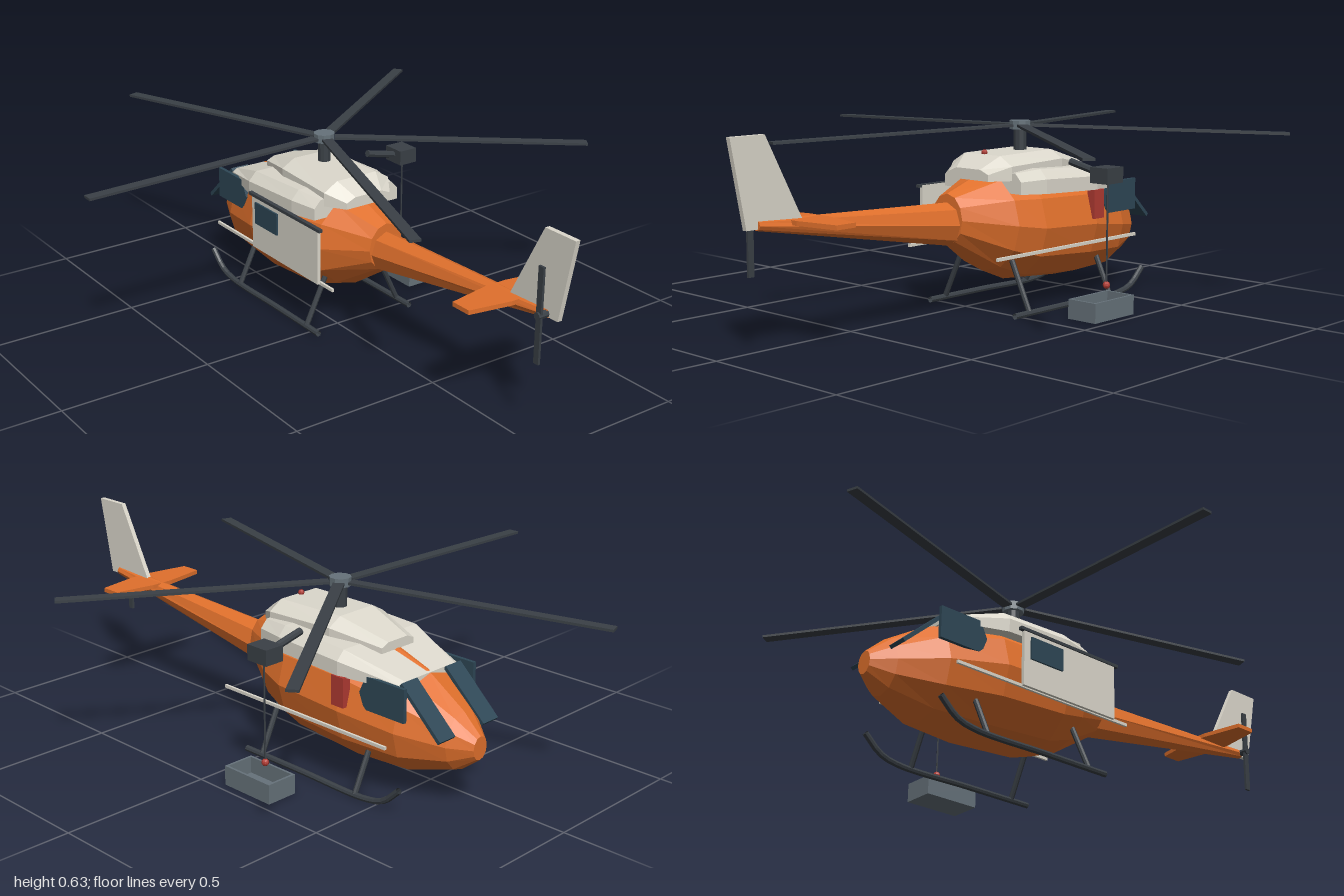
import * as THREE from 'three';

const mat = (color) => new THREE.MeshStandardMaterial({ color, flatShading: true, side: THREE.DoubleSide });
const orange = mat(0xe0702c), white = mat(0xdcd8cc), dark = mat(0x3a4046);
const glass = mat(0x2e4756), red = mat(0xb03a32), grey = mat(0x66727a);

export function createModel() {
  const model = new THREE.Group();
  const craft = new THREE.Group(); // helicopter proper, nose towards -z
  craft.name = 'helicopter';
  craft.position.x = 0.075;
  model.add(craft);

  const add = (name, geo, m, pos = [0, 0, 0], parent = craft) => {
    const mesh = new THREE.Mesh(geo, m);
    mesh.name = name;
    mesh.position.set(...pos);
    parent.add(mesh);
    return mesh;
  };
  const box = (name, size, m, pos, parent) => add(name, new THREE.BoxGeometry(...size), m, pos, parent);

  // Cylinder between two points
  const rod = (name, a, b, r, m, parent = craft, sides = 8) => {
    const p = new THREE.Vector3(...a), q = new THREE.Vector3(...b);
    const mesh = add(name, new THREE.CylinderGeometry(r, r, p.distanceTo(q), sides), m, [0, 0, 0], parent);
    mesh.position.copy(p).lerp(q, 0.5);
    mesh.quaternion.setFromUnitVectors(new THREE.Vector3(0, 1, 0), q.sub(p).normalize());
    return mesh;
  };

  // Skin a list of rings (counterclockwise seen from +z, ordered by rising z)
  const loft = (rings) => {
    const n = rings[0].length, pos = rings.flat(2), idx = [];
    for (let i = 0; i < rings.length - 1; i++) {
      for (let j = 0; j < n; j++) {
        const k = (j + 1) % n, a = i * n + j, b = i * n + k;
        idx.push(a, b, b + n, a, b + n, a + n);
      }
    }
    const e = (rings.length - 1) * n;
    for (let j = 1; j < n - 1; j++) idx.push(0, j + 1, j, e, e + j, e + j + 1);
    const g = new THREE.BufferGeometry();
    g.setAttribute('position', new THREE.Float32BufferAttribute(pos, 3));
    g.setIndex(idx);
    const flat = g.toNonIndexed();
    flat.computeVertexNormals();
    return flat;
  };
  const oval = (sides) => ([z, y0, y1, hw]) => Array.from({ length: sides }, (_, i) => {
    const t = (i / sides) * Math.PI * 2;
    return [Math.cos(t) * hw, (y0 + y1) / 2 + Math.sin(t) * (y1 - y0) / 2, z];
  });
  const hood = (inset) => ([z, y0, y1, hw]) => {
    const ym = y0 + (y1 - y0) * 0.6;
    return [[hw, y0, z], [hw, ym, z], [hw * inset, y1, z], [-hw * inset, y1, z], [-hw, ym, z], [-hw, y0, z]];
  };

  // Body and tail boom: z, bottom, top, half width
  add('fuselage', loft([
    [-0.745, 0.17, 0.245, 0.03], [-0.68, 0.12, 0.305, 0.08], [-0.54, 0.075, 0.395, 0.15],
    [-0.35, 0.07, 0.455, 0.19], [-0.1, 0.09, 0.46, 0.188], [0, 0.13, 0.45, 0.16], [0.16, 0.235, 0.395, 0.065],
  ].map(oval(12))), orange);
  add('tailBoom', loft([[0.1, 0.22, 0.365, 0.06], [0.91, 0.365, 0.395, 0.018]].map(oval(8))), orange);

  // Roof fairing and engine cowling
  add('roofFairing', loft([
    [-0.55, 0.365, 0.39, 0.13], [-0.35, 0.375, 0.45, 0.188], [-0.1, 0.385, 0.462, 0.185], [0, 0.39, 0.455, 0.165],
  ].map(hood(0.85))), white);
  add('engineCowling', loft([
    [-0.42, 0.43, 0.46, 0.07], [-0.25, 0.44, 0.508, 0.12], [0, 0.43, 0.505, 0.127], [0.065, 0.43, 0.465, 0.085],
  ].map(hood(0.6))), white);
  add('beacon', new THREE.SphereGeometry(0.01, 8, 6), red, [0, 0.51, -0.01]);

  // Tail fin and stabilizer
  const fin = new THREE.ExtrudeGeometry(new THREE.Shape([
    [-0.745, 0.37], [-0.88, 0.63], [-1, 0.63], [-0.95, 0.37],
  ].map((p) => new THREE.Vector2(...p))), { depth: 0.016, bevelEnabled: false });
  fin.translate(0, 0, -0.008).rotateY(Math.PI / 2);
  add('tailFin', fin, white);
  const stab = new THREE.ExtrudeGeometry(new THREE.Shape([
    [-0.18, 0.705], [-0.04, 0.68], [0.04, 0.68], [0.18, 0.705], [0.18, 0.775], [0.04, 0.8], [-0.04, 0.8], [-0.18, 0.775],
  ].map((p) => new THREE.Vector2(...p))), { depth: 0.014, bevelEnabled: false });
  stab.rotateX(Math.PI / 2);
  add('stabilizer', stab, orange, [0, 0.385, 0]);

  // Tail rotor
  rod('tailRotorHub', [-0.045, 0.38, 0.905], [0, 0.38, 0.905], 0.012, dark);
  box('tailRotorBlades', [0.008, 0.3, 0.02], dark, [-0.035, 0.38, 0.905]);

  // Main rotor
  const rotor = new THREE.Group();
  rotor.name = 'mainRotor';
  rotor.position.set(0, 0.588, -0.18);
  craft.add(rotor);
  rod('rotorMast', [0, -0.1, 0], [0, 0, 0], 0.022, dark, rotor, 10);
  add('rotorHub', new THREE.CylinderGeometry(0.035, 0.035, 0.028, 10), grey, [0, 0, 0], rotor);
  for (let i = 0; i < 5; i++) {
    const arm = new THREE.Group();
    arm.name = 'rotorArm';
    arm.rotation.y = Math.PI + (i * Math.PI * 2) / 5;
    rotor.add(arm);
    const blade = box('rotorBlade', [0.825, 0.008, 0.036], dark, [0.448, -0.01, 0], arm);
    blade.rotation.z = -0.022;
  }

  for (const s of [-1, 1]) {
    // Cockpit glazing
    const pane = new THREE.ExtrudeGeometry(new THREE.Shape([
      [0.415, 0.335], [0.44, 0.39], [0.59, 0.39], [0.59, 0.285], [0.435, 0.285],
    ].map((p) => new THREE.Vector2(...p))), { depth: 0.012, bevelEnabled: false });
    pane.rotateY(Math.PI / 2);
    add('sideWindow', pane, glass, [s * 0.155 - 0.006, 0, 0]);
    const shield = box('windshield', [0.068, 0.012, 0.205], glass, [s * 0.098, 0.318, -0.625]);
    shield.rotation.x = -0.75;

    // Landing gear
    const x = s * 0.186;
    const path = new THREE.CatmullRomCurve3([
      [0.05, 0.015], [-0.2, 0.015], [-0.47, 0.015], [-0.54, 0.033], [-0.6, 0.085],
    ].map(([z, y]) => new THREE.Vector3(x, y, z)));
    add('skid', new THREE.TubeGeometry(path, 24, 0.01, 8), dark);
    for (const z of [-0.02, -0.425]) rod('skidStrut', [x, 0.015, z], [s * 0.11, 0.175, z], 0.009, dark);
    box('sideRail', [0.008, 0.01, 0.69], white, [s * 0.192, 0.206, -0.205]);
  }

  // Sliding door on the -x side, with its window and rail
  box('slidingDoor', [0.012, 0.19, 0.38], white, [-0.2, 0.3, -0.115]);
  box('doorWindow', [0.008, 0.075, 0.13], glass, [-0.208, 0.335, -0.215]);
  box('doorRail', [0.014, 0.01, 0.41], dark, [-0.203, 0.393, -0.115]);
  box('sidePanel', [0.03, 0.095, 0.05], red, [0.178, 0.328, -0.355]);

  // Rescue hoist
  const hoist = new THREE.Group();
  hoist.name = 'hoist';
  model.add(hoist);
  rod('hoistArm', [0.27, 0.48, -0.205], [0.39, 0.452, -0.205], 0.012, dark, hoist);
  box('winch', [0.068, 0.05, 0.08], dark, [0.415, 0.45, -0.205], hoist);
  rod('cable', [0.42, 0.43, -0.205], [0.42, 0.1, -0.205], 0.003, dark, hoist, 6);
  add('hook', new THREE.SphereGeometry(0.012, 8, 6), red, [0.42, 0.1, -0.205], hoist);

  // Open basket below the hook
  const basket = new THREE.Group();
  basket.name = 'basket';
  basket.position.set(0.42, 0, -0.18);
  hoist.add(basket);
  box('basketFloor', [0.108, 0.01, 0.194], grey, [0, 0.008, 0], basket);
  for (const s of [-1, 1]) {
    box('basketSide', [0.008, 0.062, 0.194], grey, [s * 0.05, 0.035, 0], basket);
    box('basketEnd', [0.1, 0.062, 0.008], grey, [0, 0.035, s * 0.093], basket);
  }

  return model;
}
